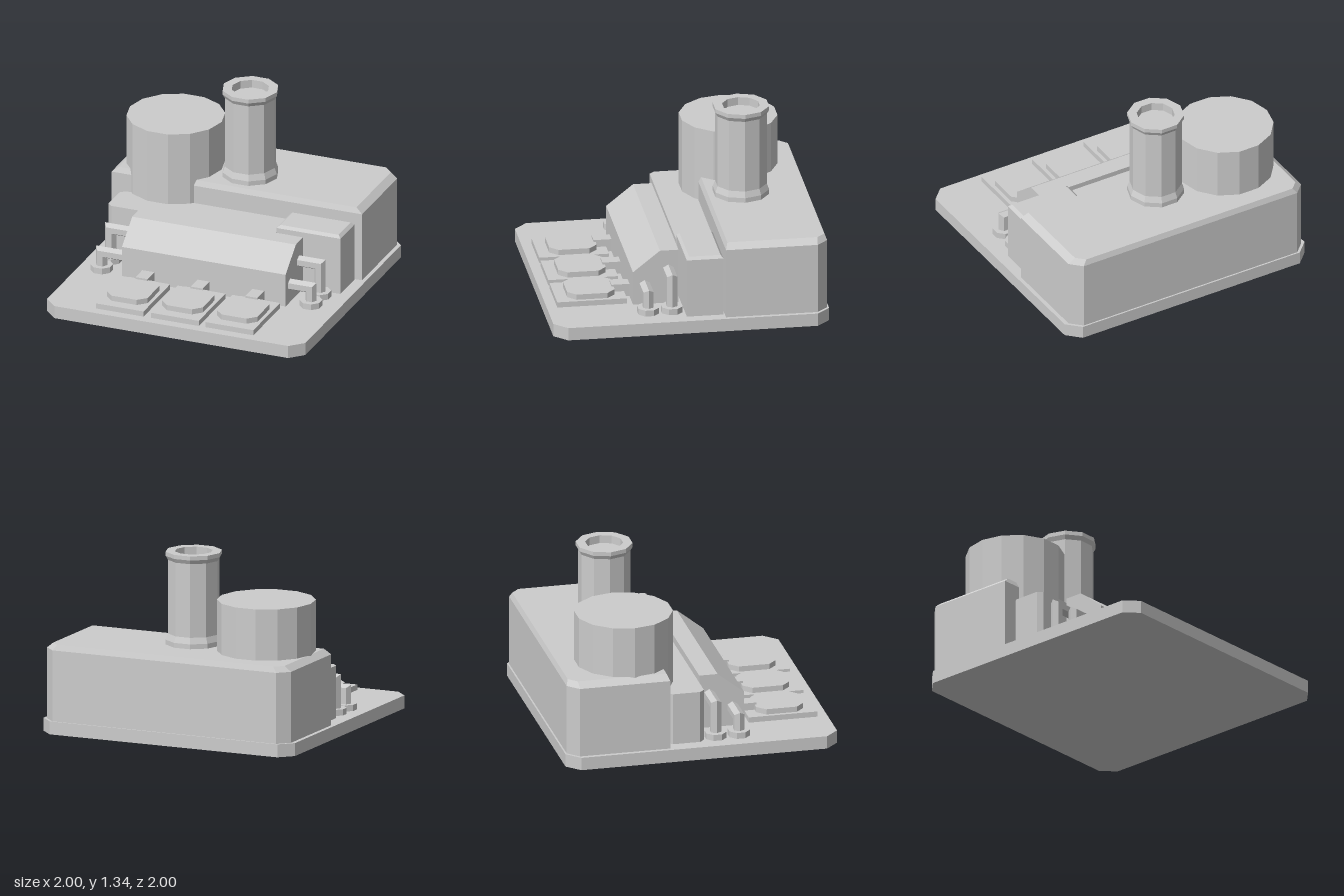
import * as THREE from 'three';

const grey = new THREE.MeshStandardMaterial({ color: 0xcccccc });
grey.name = 'plainGrey';

// Joins convex rings of points into a closed, flat-shaded solid
function loft(rings) {
  const pos = [];
  const tri = (...pts) => pts.forEach((p) => pos.push(...p));
  const n = rings[0].length;
  for (let r = 0; r < rings.length - 1; r++) {
    const a = rings[r], b = rings[r + 1];
    for (let i = 0; i < n; i++) {
      const j = (i + 1) % n;
      tri(a[i], a[j], b[j]);
      tri(a[i], b[j], b[i]);
    }
  }
  const first = rings[0], last = rings[rings.length - 1];
  for (let i = 1; i < n - 1; i++) {
    tri(first[0], first[i + 1], first[i]);
    tri(last[0], last[i], last[i + 1]);
  }
  const g = new THREE.BufferGeometry();
  g.setAttribute('position', new THREE.Float32BufferAttribute(pos, 3));
  g.computeVertexNormals();
  return g;
}

// Rectangle at height y with cut corners (cf front, cb back)
function outline(y, x0, x1, z0, z1, cf = 0, cb = cf) {
  const pts = [];
  if (cf) pts.push([x0, y, z1 - cf], [x0 + cf, y, z1], [x1 - cf, y, z1], [x1, y, z1 - cf]);
  else pts.push([x0, y, z1], [x1, y, z1]);
  if (cb) pts.push([x1, y, z0 + cb], [x1 - cb, y, z0], [x0 + cb, y, z0], [x0, y, z0 + cb]);
  else pts.push([x1, y, z0], [x0, y, z0]);
  return pts;
}

// Hexagonal pipe running outwards, then down through a mitred elbow
function elbowPipe(side, xIn, xOut, y, z, yEnd) {
  const r = 0.043;
  const rings = [[], [], []];
  for (let i = 0; i < 6; i++) {
    const a = (i * Math.PI) / 3;
    const u = r * Math.cos(a), w = z + r * Math.sin(a);
    rings[0].push([xIn, y + u, w]);
    rings[1].push([xOut + side * u, y + u, w]);
    rings[2].push([xOut + side * u, yEnd, w]);
  }
  if (side < 0) rings.forEach((ring) => ring.reverse());
  return loft(rings);
}

export function createModel() {
  const model = new THREE.Group();
  model.name = 'factory';
  const floor = 0.095;

  function add(name, geometry, x = 0, y = 0, z = 0) {
    const g = geometry.index ? geometry.toNonIndexed() : geometry;
    g.computeVertexNormals();
    const mesh = new THREE.Mesh(g, grey);
    mesh.name = name;
    mesh.position.set(x, y, z);
    model.add(mesh);
  }

  // Ground slab
  add('baseSlab', loft([outline(0, -1, 1, -1, 1, 0.095), outline(floor, -1, 1, -1, 1, 0.095)]));

  // Large rear hall with bevelled roof edge
  add('mainHall', loft([
    outline(floor, -0.97, 0.97, -0.988, -0.243, 0, 0.08),
    outline(0.615, -0.97, 0.97, -0.988, -0.243, 0, 0.08),
    outline(0.655, -0.92, 0.92, -0.973, -0.26, 0, 0.06),
  ]));

  // Middle block and side annex
  add('middleBlock', loft([
    outline(floor, -0.895, 0.41, -0.24, 0.03, 0.035),
    outline(0.48, -0.895, 0.41, -0.24, 0.03, 0.035),
  ]));
  add('sideAnnex', loft([
    outline(floor, 0.42, 0.915, -0.233, 0.033),
    outline(0.53, 0.42, 0.915, -0.233, 0.033),
    outline(0.55, 0.443, 0.893, -0.215, 0.013),
  ]));

  // Round tank
  const tankH = 1.03 - floor;
  add('tank', new THREE.CylinderGeometry(0.355, 0.355, tankH, 14, 1, false, Math.PI / 2),
    -0.575, floor + tankH / 2, -0.495);

  // Chimney with flared foot, rim and recessed mouth
  const profile = [
    [0.205, 0.64], [0.205, 0.69], [0.188, 0.735], [0.188, 1.275], [0.205, 1.305],
    [0.205, 1.335], [0.137, 1.335], [0.137, 1.275], [0, 1.275],
  ].map(([r, y]) => new THREE.Vector2(r, y));
  add('chimney', new THREE.LatheGeometry(profile, 10, Math.PI / 2), 0, 0, -0.5);

  // Sloped front machine housing, cross-section in z and y
  const section = [[0.05, floor], [0.05, 0.5], [0.185, 0.5], [0.38, 0.345], [0.38, floor]];
  add('slopedHousing', loft([-0.635, 0.632].map((x) => section.map(([z, y]) => [x, y, z]))));

  // Pipes at both ends of the housing, each with a floor flange
  for (const [side, x, label] of [[-1, -0.826, 'right'], [1, 0.794, 'left']]) {
    for (const [z, y, row] of [[0.124, 0.347, 'Rear'], [0.295, 0.237, 'Front']]) {
      add(label + row + 'Pipe', elbowPipe(side, side * 0.6, x, y, z, floor));
      add(label + row + 'Flange',
        new THREE.CylinderGeometry(0.081, 0.081, 0.045, 8, 1, false, Math.PI / 8), x, floor + 0.0225, z);
    }
  }

  // Three front pads with cut-corner hatches and feed ducts
  for (const x of [-0.43, -0.003, 0.42]) {
    add('pad', new THREE.BoxGeometry(0.37, 0.04, 0.505), x, floor + 0.02, 0.672);
    add('padHatch', loft([
      outline(0.135, x - 0.157, x + 0.157, 0.495, 0.84, 0.06),
      outline(0.175, x - 0.157, x + 0.157, 0.495, 0.84, 0.06),
    ]));
    add('feedDuct', new THREE.BoxGeometry(0.094, 0.093, 0.145), x, 0.1425, 0.4375);
  }
  return model;
}
